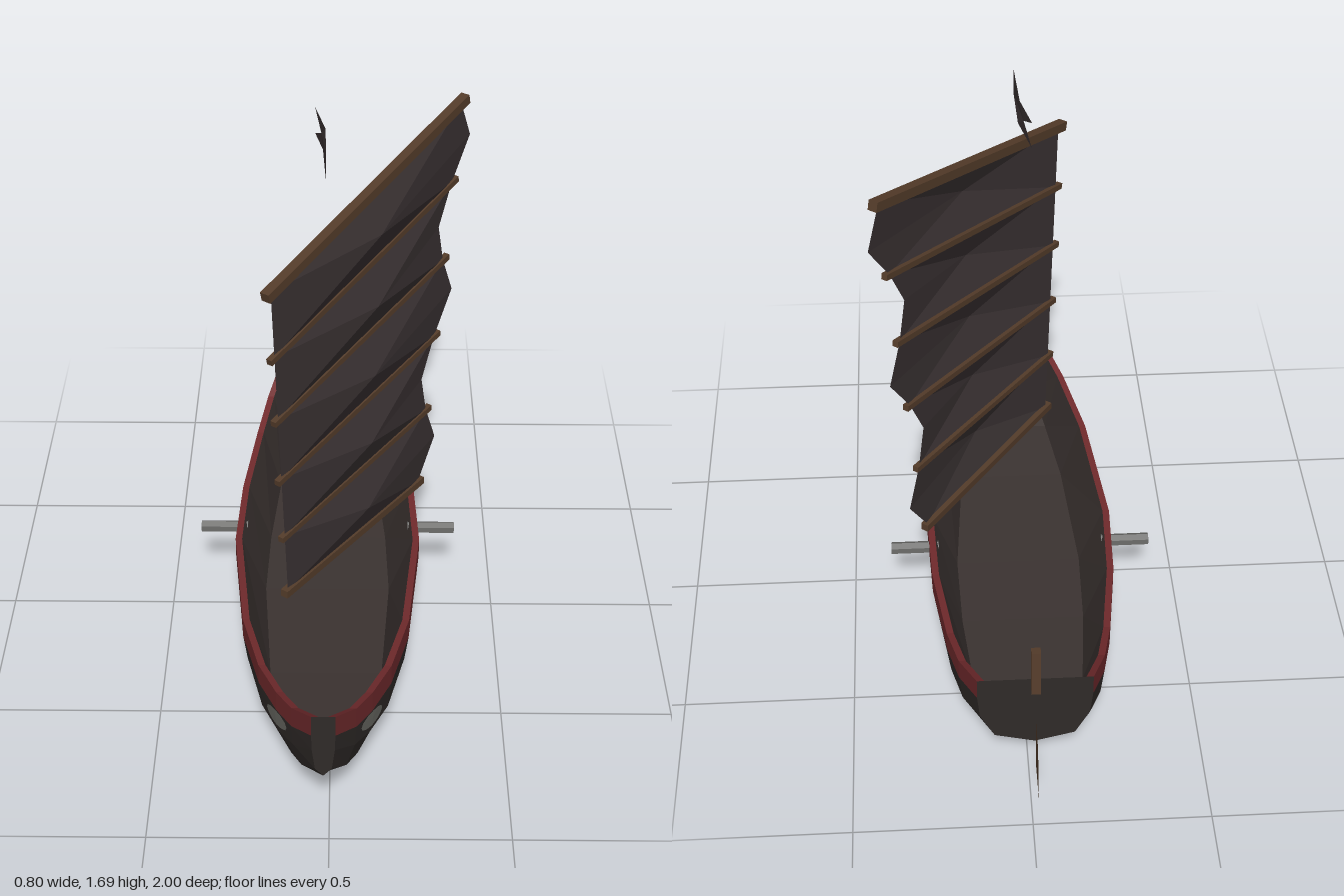
import * as THREE from 'three';

const mat = (name, color) => {
  const m = new THREE.MeshStandardMaterial({ color, flatShading: true, side: THREE.DoubleSide });
  m.name = name;
  return m;
};
const V = (x, y, z) => new THREE.Vector3(x, y, z);
const CX = -0.015; // hull centre line

// Stations from bow to stern: z, half width, sheer height, keel height
const STATIONS = [
  [1, 0.032, 0.45, 0.24], [0.88, 0.088, 0.37, 0.134], [0.78, 0.132, 0.335, 0.08], [0.63, 0.187, 0.3, 0.03],
  [0.4, 0.242, 0.272, 0.01], [0, 0.283, 0.257, 0.003], [-0.26, 0.272, 0.262, 0.005],
  [-0.53, 0.236, 0.288, 0.02], [-0.68, 0.206, 0.33, 0.065], [-0.825, 0.16, 0.4, 0.15],
];

// Half section, sheer to keel, as [x, y] from the centre line
function outerHalf([, w, top, keel]) {
  const h = top - keel;
  return [[w, top], [w, top - 0.066], [w * 0.955, keel + h * 0.44], [w * 0.7, keel + h * 0.12], [0, keel]];
}
function innerHalf([, w, top, keel]) {
  return [[Math.max(w - 0.02, 0.008), top], [w * 0.68, keel + (top - keel) * 0.12 + 0.025]];
}

function fromTriangles(list) {
  const g = new THREE.BufferGeometry().setFromPoints(list);
  g.computeVertexNormals();
  return g;
}
// Surface through rows of points
function loft(rows, flip = false) {
  const t = [];
  for (let i = 0; i < rows.length - 1; i++) {
    for (let j = 0; j < rows[i].length - 1; j++) {
      const a = rows[i][j], b = rows[i][j + 1], c = rows[i + 1][j + 1], d = rows[i + 1][j];
      t.push(...(flip ? [a, c, b, a, d, c] : [a, b, c, a, c, d]));
    }
  }
  return fromTriangles(t);
}
// Triangles from a hub to a closed or open loop
function fan(hub, loop, flip = false) {
  const t = [];
  for (let i = 0; i < loop.length - 1; i++) {
    t.push(hub, ...(flip ? [loop[i + 1], loop[i]] : [loop[i], loop[i + 1]]));
  }
  return fromTriangles(t);
}

// Hull half width at a given height and station position
function hullX(z, y) {
  const i = STATIONS.findIndex((s) => s[0] <= z);
  const a = STATIONS[i - 1], b = STATIONS[i], k = (a[0] - z) / (a[0] - b[0]);
  const pa = outerHalf(a), pb = outerHalf(b);
  const p = pa.map((q, n) => [q[0] + (pb[n][0] - q[0]) * k, q[1] + (pb[n][1] - q[1]) * k]);
  for (let n = 0; n < p.length - 1; n++) {
    if (y >= p[n + 1][1]) return p[n][0] + (p[n + 1][0] - p[n][0]) * (p[n][1] - y) / (p[n][1] - p[n + 1][1]);
  }
  return 0;
}

export function createModel() {
  const model = new THREE.Group();
  model.name = 'sailingBoat';
  const hullMat = mat('tarred hull', 0x2f2a28);
  const deckMat = mat('inner planking', 0x3b3331);
  const redMat = mat('red rail', 0x702a2c);
  const sailMat = mat('dark sailcloth', 0x393132);
  const woodMat = mat('brown wood', 0x543c2a);
  const greyMat = mat('grey metal', 0x6c6c6a);
  const eyeMat = mat('pale eye', 0x6a6a64);
  const add = (name, geo, m, parent = model) => {
    const mesh = new THREE.Mesh(geo, m);
    mesh.name = name;
    parent.add(mesh);
    return mesh;
  };
  // Square bar between two points
  const bar = (name, a, b, size, m, parent) => {
    const mesh = add(name, new THREE.BoxGeometry(size, size, a.distanceTo(b)), m, parent);
    mesh.position.copy(a).add(b).multiplyScalar(0.5);
    mesh.lookAt(b);
  };

  // Hull below the rail, from one side to the other
  const at = (s, p, side) => V(CX + side * p[0], p[1], s[0]);
  const full = (s, half) => [
    ...half.map((p) => at(s, p, 1)),
    ...half.filter((p) => p[0] > 0).reverse().map((p) => at(s, p, -1)),
  ];
  add('hull', loft(STATIONS.map((s) => full(s, outerHalf(s).slice(1)))), hullMat);
  add('innerPlanking', loft(STATIONS.map((s) => full(s, innerHalf(s))), true), deckMat);

  // Flat ends
  const endCap = (name, s, flip) => {
    const loop = full(s, outerHalf(s));
    add(name, fan(loop[0], loop.slice(1), flip), hullMat);
  };
  endCap('bowPlate', STATIONS[0], true);
  endCap('transom', STATIONS[STATIONS.length - 1], false);

  for (const side of [1, -1]) {
    const label = side > 0 ? 'left' : 'right';
    // Rail: outer strake and narrow top edge
    const rail = STATIONS.map((s) => {
      const o = outerHalf(s);
      return [at(s, innerHalf(s)[0], side), at(s, o[0], side), at(s, o[1], side)];
    });
    add(label + 'Rail', loft(rail, side < 0), redMat);

    // Bow eye laid on the planking
    const eyePoint = (u, v) => {
      const z = 0.785 + u * 0.075, y = 0.248 + u * 0.03 + v * 0.028;
      return V(CX + side * (hullX(z, y) + 0.006), y, z);
    };
    const loop = Array.from({ length: 13 }, (_, i) =>
      eyePoint(Math.cos((i * Math.PI) / 6), Math.sin((i * Math.PI) / 6)));
    add(label + 'Eye', fan(eyePoint(0, 0), loop, side > 0), eyeMat);

    // Six-sided barrel through the side
    const barrel = add(label + 'Barrel', new THREE.CylinderGeometry(0.0187, 0.0187, 0.145, 6), greyMat);
    barrel.rotation.set(0, 0, Math.PI / 2);
    barrel.geometry.rotateY(Math.PI / 2);
    barrel.position.set(CX + side * 0.322, 0.228, -0.1);
  }

  // Battens from yard to boom: front end, then back end
  const sail = new THREE.Group();
  sail.name = 'sail';
  model.add(sail);
  const N = 5;
  const battens = Array.from({ length: N + 1 }, (_, i) => {
    const k = i / N;
    return [
      V(-0.17 + 0.035 * k, 1.385 - 1.018 * k, 0.445 - 0.045 * k),
      V(0.375 - 0.1 * k, 1.605 - 1.237 * k + 0.012 * Math.sin(Math.PI * k), -0.3 + 0.135 * k),
    ];
  });
  battens.forEach(([a, b], i) => {
    const name = i === 0 ? 'yard' : i === N ? 'boom' : 'batten';
    bar(name, a, b, i === 0 ? 0.028 : i === N ? 0.024 : 0.018, woodMat, sail);
  });

  // Bellied panels with a scalloped back edge
  const along = V(0.588, 0, -0.809), belly = V(0.809, 0, 0.588);
  const edges = battens.map(([a, b]) => [a.clone().lerp(b, 0.025), a.clone().lerp(b, 0.975)]);
  for (let i = 0; i < N; i++) {
    const [tl, tr] = edges[i], [bl, br] = edges[i + 1];
    const mr = tr.clone().lerp(br, 0.5).addScaledVector(along, i % 2 ? -0.045 : 0.07);
    const hub = tl.clone().add(tr).add(bl).add(br).multiplyScalar(0.25).addScaledVector(belly, 0.045);
    add('sailPanel', fan(hub, [tl, bl, br, mr, tr, tl]), sailMat, sail);
  }

  // Swallow-tailed pennant
  const p = [V(CX, 1.69, 0.235), V(CX, 1.612, 0.235), V(-0.018, 1.612, 0.08), V(-0.048, 1.612, -0.055),
    V(-0.03, 1.651, 0.025), V(-0.048, 1.69, -0.055), V(-0.018, 1.69, 0.08), V(CX, 1.69, 0.235)];
  add('pennant', fan(p[4], [p[5], p[6], p[0], p[1], p[2], p[3]]), sailMat);

  // Steering gear
  bar('tiller', V(CX, 0.525, -0.84), V(CX, 0.385, -0.857), 0.026, woodMat);
  const r = [V(CX, 0.275, -0.858), V(CX, 0.262, -0.952), V(CX, 0.112, -1), V(CX, 0.112, -0.882)];
  add('rudderBlade', fan(r[0], r.slice(1), true), woodMat);

  return model;
}
